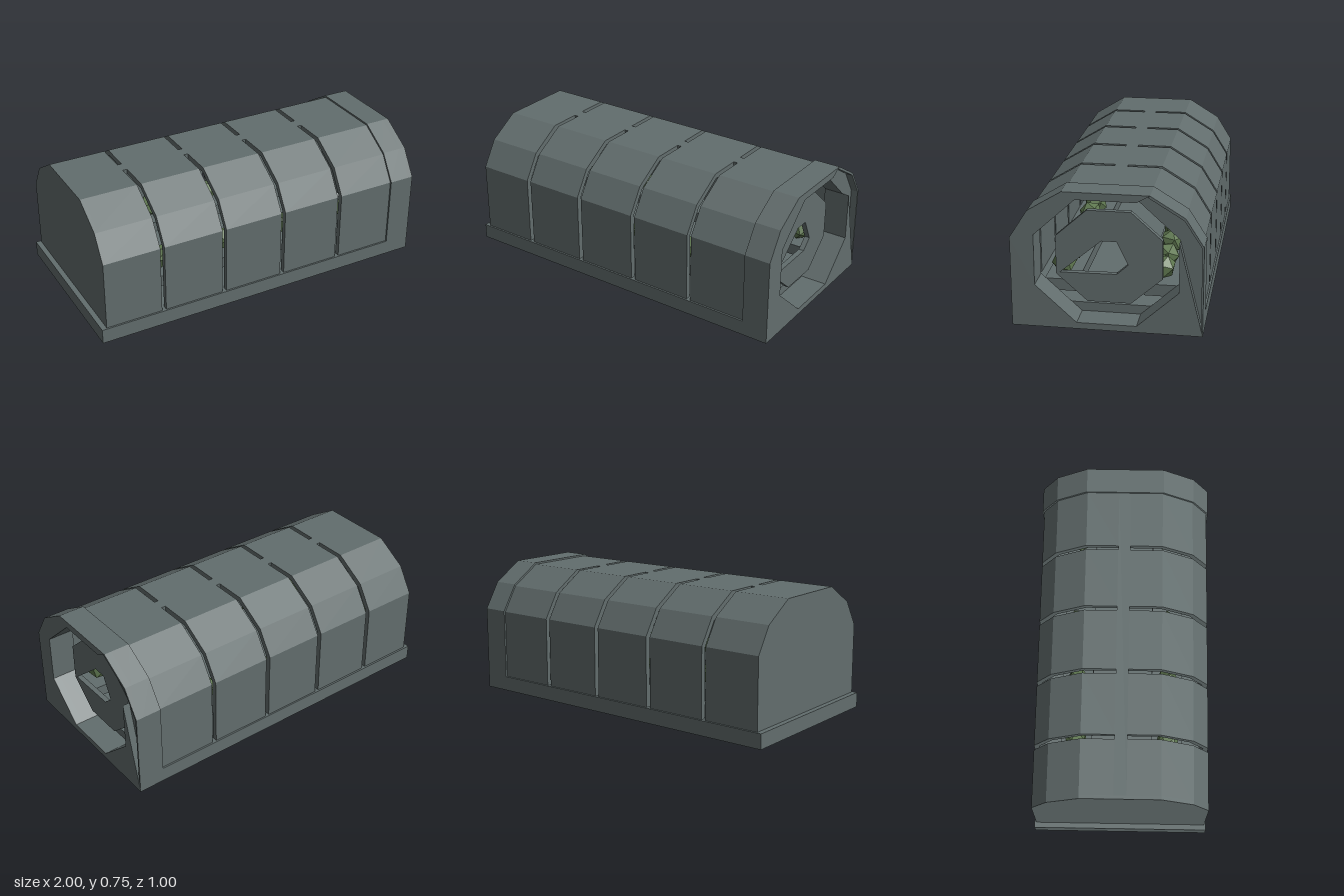
import * as THREE from 'three';

const hull = new THREE.MeshStandardMaterial({ color: 0x626d6d, side: THREE.DoubleSide });
hull.name = 'slate hull';
const leaf = new THREE.MeshStandardMaterial({ color: 0x5f7850, flatShading: true });
leaf.name = 'leaf green';

// Extrudes a [z, y] outline along the x axis from x0 to x1
function prism(name, outline, x0, x1, hole) {
  const toV = ([z, y]) => new THREE.Vector2(-z, y);
  const shape = new THREE.Shape(outline.map(toV));
  if (hole) shape.holes.push(new THREE.Path(hole.map(toV)));
  const geo = new THREE.ExtrudeGeometry(shape, { depth: x1 - x0, bevelEnabled: false });
  geo.rotateY(Math.PI / 2).translate(x0, 0, 0);
  const mesh = new THREE.Mesh(geo, hull);
  mesh.name = name;
  return mesh;
}

function box(name, x0, x1, y0, y1, z0, z1) {
  const mesh = new THREE.Mesh(new THREE.BoxGeometry(x1 - x0, y1 - y0, z1 - z0), hull);
  mesh.name = name;
  mesh.position.set((x0 + x1) / 2, (y0 + y1) / 2, (z0 + z1) / 2);
  return mesh;
}

const mirror = (half) => [...half, ...half.map(([z, y]) => [-z, y]).reverse()];

export function createModel() {
  const model = new THREE.Group();
  model.name = 'habitatModule';

  // Half outlines, as [z, y] from the foot up
  const collarHalf = [[0.5, 0], [0.5, 0.49], [0.405, 0.64], [0.225, 0.75]];
  const panelHalf = [[0.49, 0.085], [0.49, 0.485], [0.4, 0.63], [0.22, 0.74]];
  const innerHalf = [[0.46, 0.085], [0.46, 0.475], [0.38, 0.605], [0.21, 0.71]];
  const doorway = mirror([[0.157, 0.035], [0.375, 0.235], [0.375, 0.51], [0.157, 0.71]]);

  // Base slab and rear wall
  model.add(box('base', -1, 0.85, 0, 0.085, -0.5, 0.5));
  model.add(prism('rearWall', mirror(panelHalf), -0.97, -0.95));

  // Curved side panels separated by narrow slots
  const spans = [[-0.97, -0.64], [-0.615, -0.265], [-0.24, 0.11], [0.135, 0.485], [0.51, 0.85]];
  for (const [x0, x1] of spans) {
    for (const s of [1, -1]) {
      const outline = [...panelHalf, [0.035, 0.74], [0.035, 0.71], ...[...innerHalf].reverse()];
      model.add(prism('sidePanel', outline.map(([z, y]) => [z * s, y]), x0, x1));
    }
  }
  model.add(box('roofSpine', -0.97, 0.85, 0.71, 0.74, -0.035, 0.035));

  // Entrance collar, with a sunken wedge in its rear front corner
  model.add(prism('collar', mirror(collarHalf), 0.85, 0.96, doorway));
  const face = [[0.5, 0], [0.5, 0.49], [0.405, 0.64], [0.225, 0.75], [-0.225, 0.75],
    [-0.157, 0.71], [0.157, 0.71], [0.375, 0.51], [0.375, 0.235], [0.157, 0.035],
    [-0.157, 0.035], [-0.375, 0.235], [-0.375, 0.51], [-0.5, 0]];
  model.add(prism('collarFace', face, 0.96, 1));
  const rim = [[-0.5, 0], [-0.5, 0.49], [-0.405, 0.64], [-0.225, 0.75],
    [-0.215, 0.74], [-0.398, 0.628], [-0.49, 0.485], [-0.49, 0.06]];
  model.add(prism('collarRim', rim, 0.96, 1));

  // Recessed octagonal door with an angular opening
  const door = mirror([[0.115, 0.12], [0.28, 0.267], [0.28, 0.477], [0.115, 0.625]]);
  const opening = [[0.26, 0.275], [0.04, 0.46], [-0.04, 0.46], [-0.1, 0.335], [-0.04, 0.28]];
  model.add(prism('door', door, 0.88, 0.91, opening));

  // Interior benches with rows of faceted plants
  for (const s of [1, -1]) {
    const bench = box('bench', -0.95, 0.85, 0.145, 0.21, -0.09, 0.09);
    bench.position.z = 0.265 * s;
    model.add(bench);
    spans.forEach(([x0, x1], i) => {
      for (const d of [-0.085, 0.085]) {
        const plant = new THREE.Mesh(new THREE.IcosahedronGeometry(0.07, 0), leaf);
        plant.name = 'plant';
        plant.position.set((x0 + x1) / 2 + d, 0.28, 0.265 * s);
        plant.rotation.set(i * 0.7, i * 1.3 + d * 9, s * 0.4);
        model.add(plant);
      }
    });
  }
  return model;
}
